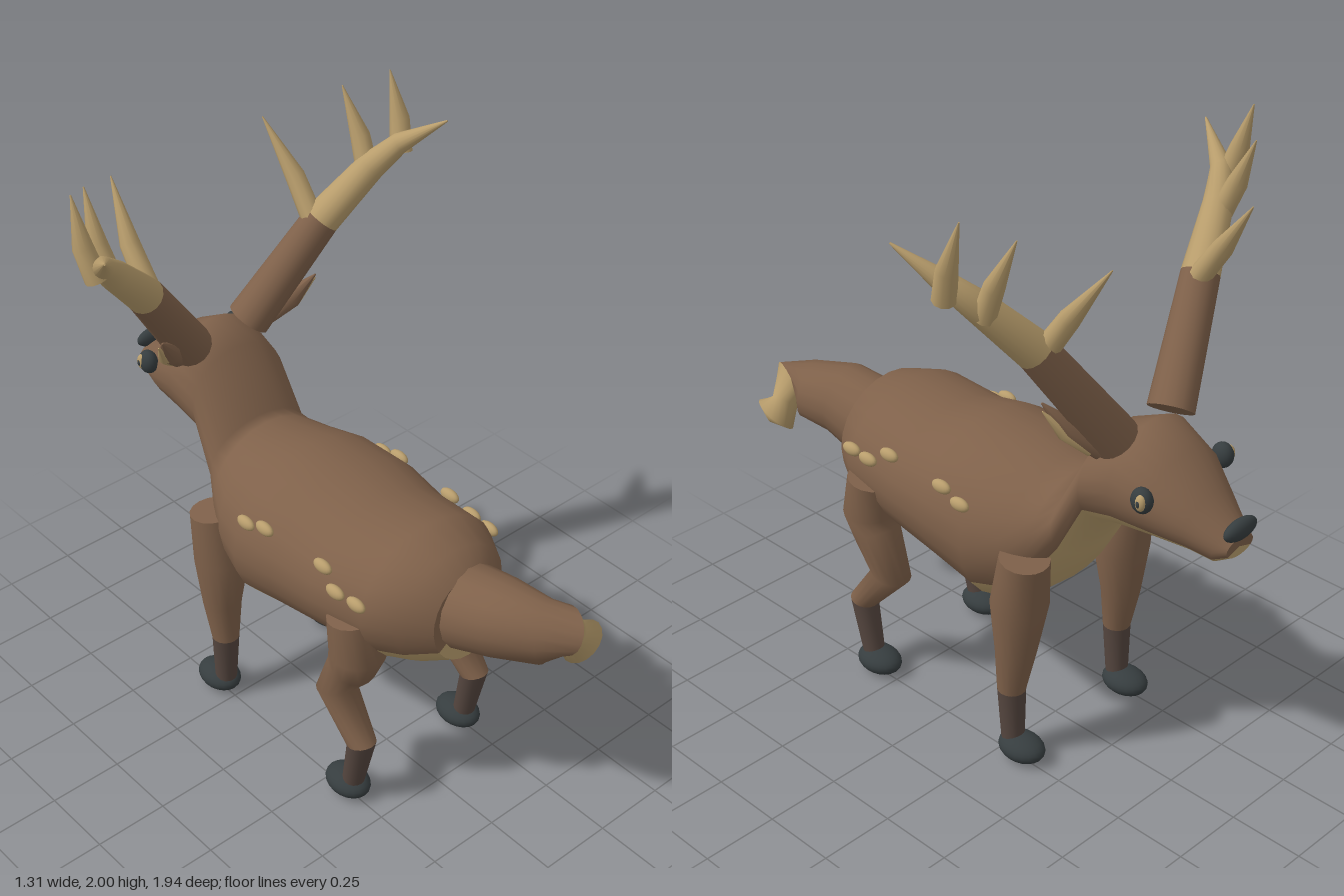
import * as THREE from 'three';

const V = (x, y, z) => new THREE.Vector3(x, y, z);

function material(name, color) {
  const m = new THREE.MeshStandardMaterial({ color });
  m.name = name;
  return m;
}

// Skin a list of rings { c, u, v }; faces go to group 1 where isSecond(j) is true.
function loft(rings, n, isSecond = () => false) {
  const pos = [], faces = [[], []];
  const addRing = ({ c, u, v }) => {
    const start = pos.length / 3;
    for (let j = 0; j < n; j++) {
      const t = (j / n) * Math.PI * 2;
      const p = c.clone().addScaledVector(u, Math.cos(t)).addScaledVector(v, Math.sin(t));
      pos.push(p.x, p.y, p.z);
    }
    return start;
  };
  const starts = rings.map(addRing);
  for (let i = 0; i < rings.length - 1; i++) {
    for (let j = 0; j < n; j++) {
      const k = (j + 1) % n, s = starts[i], e = starts[i + 1];
      faces[isSecond(j) ? 1 : 0].push(s + j, s + k, e + j, s + k, e + k, e + j);
    }
  }
  // Flat end caps with their own vertices so the rim stays sharp
  [[rings[0], true], [rings[rings.length - 1], false]].forEach(([ring, first]) => {
    const s = addRing(ring), mid = pos.length / 3;
    pos.push(ring.c.x, ring.c.y, ring.c.z);
    for (let j = 0; j < n; j++) {
      const k = (j + 1) % n;
      faces[isSecond(j) ? 1 : 0].push(mid, first ? s + k : s + j, first ? s + j : s + k);
    }
  });
  const g = new THREE.BufferGeometry();
  g.setAttribute('position', new THREE.Float32BufferAttribute(pos, 3));
  g.setIndex([...faces[0], ...faces[1]]);
  g.addGroup(0, faces[0].length, 0);
  g.addGroup(faces[0].length, faces[1].length, 1);
  g.computeVertexNormals();
  return g;
}

// Round rings of varying radius along points [x, y, z, r]
function limbRings(points) {
  const c = points.map(p => V(p[0], p[1], p[2]));
  return c.map((p, i) => {
    const d = c[Math.min(i + 1, c.length - 1)].clone().sub(c[Math.max(i - 1, 0)]).normalize();
    const u = V(1, 0, 0).addScaledVector(d, -d.x).normalize();
    const v = d.clone().cross(u);
    return { c: p, u: u.multiplyScalar(points[i][3]), v: v.multiplyScalar(points[i][3]) };
  });
}

export function createModel() {
  const group = new THREE.Group();
  group.name = 'deer';
  const brown = material('brown coat', 0x7f614a);
  const cream = material('cream', 0xb89d6c);
  const sock = material('dark sock', 0x55463f);
  const dark = material('hoof and nose', 0x363d3f);

  const add = (name, geometry, mat) => {
    const mesh = new THREE.Mesh(geometry, mat);
    mesh.name = name;
    group.add(mesh);
    return mesh;
  };
  const ellipsoid = (name, mat, p, r) => {
    const mesh = add(name, new THREE.SphereGeometry(1, 20, 14), mat);
    mesh.position.set(...p);
    mesh.scale.set(...r);
    return mesh;
  };
  // One limb, changing colour at ring index "split"
  const limb = (name, points, split, upper, lower, n = 16) => {
    const rings = limbRings(points);
    add(name, loft(rings.slice(0, split + 1), n), upper);
    if (split < rings.length - 1) add(name + 'End', loft(rings.slice(split), n), lower);
  };

  // Body, neck and head: top z, top y, bottom z, bottom y, half width
  const sections = [
    [0.58, 0.92, 0.61, 0.63, 0.14],
    [0.52, 0.98, 0.52, 0.58, 0.22],
    [0.40, 1.01, 0.44, 0.56, 0.28],
    [0.20, 0.99, 0.22, 0.53, 0.30],
    [0.05, 1.02, 0.03, 0.50, 0.32],
    [-0.13, 1.02, -0.14, 0.45, 0.32],
    [-0.28, 0.99, -0.22, 0.48, 0.285],
    [-0.35, 0.985, -0.32, 0.57, 0.24],
    [-0.39, 0.99, -0.41, 0.72, 0.20],
    [-0.50, 1.20, -0.49, 0.88, 0.187],
    [-0.62, 1.255, -0.60, 0.90, 0.19],
    [-0.74, 1.185, -0.72, 0.92, 0.172],
    [-0.84, 1.09, -0.84, 0.92, 0.12],
    [-0.93, 1.02, -0.90, 0.905, 0.08],
    [-0.955, 1.00, -0.95, 0.935, 0.06],
  ];
  const bodyRings = sections.map(([tz, ty, bz, by, w]) => ({
    c: V(0, (ty + by) / 2, (tz + bz) / 2),
    u: V(0, (ty - by) / 2, (tz - bz) / 2),
    v: V(w, 0, 0),
  }));
  add('body', loft(bodyRings, 24, j => j >= 8 && j < 16), [brown, cream]);

  // Tail swings to one side and curls down at a pale tip
  limb('tail', [
    [0.02, 0.79, 0.56, 0.14], [0.035, 0.825, 0.71, 0.125], [0.08, 0.83, 0.84, 0.10],
    [0.12, 0.85, 0.895, 0.075], [0.165, 0.80, 0.87, 0.045], [0.195, 0.755, 0.885, 0.075],
    [0.215, 0.735, 0.90, 0.01],
  ], 3, brown, cream);

  ellipsoid('nose', dark, [0, 1.025, -0.95], [0.07, 0.033, 0.025]);

  for (const s of [1, -1]) {
    const side = s > 0 ? 'left' : 'right';
    const flip = points => points.map(([x, ...rest]) => [x * s, ...rest]);

    // Legs and hooves
    limb(side + 'FrontLeg', flip([
      [0.24, 0.755, -0.335, 0.08], [0.235, 0.58, -0.31, 0.093], [0.245, 0.40, -0.305, 0.066],
      [0.248, 0.25, -0.29, 0.046], [0.248, 0.06, -0.297, 0.037],
    ]), 3, brown, sock);
    limb(side + 'HindLeg', flip([
      [0.24, 0.755, 0.345, 0.083], [0.235, 0.62, 0.365, 0.092], [0.235, 0.55, 0.34, 0.08],
      [0.24, 0.415, 0.27, 0.066], [0.248, 0.26, 0.40, 0.048], [0.248, 0.06, 0.36, 0.036],
    ]), 4, brown, sock);
    for (const z of [-0.335, 0.335]) {
      ellipsoid(side + 'Hoof', dark, [0.247 * s, 0.044, z], [0.064, 0.044, 0.085]);
    }

    // Antler: brown beam, pale upper part and three tines
    limb(side + 'Antler', flip([
      [0.12, 1.22, -0.58, 0.073], [0.352, 1.55, -0.48, 0.06], [0.50, 1.71, -0.415, 0.047],
      [0.575, 1.79, -0.36, 0.034], [0.652, 1.89, -0.23, 0.003],
    ]), 1, brown, cream);
    const tines = [
      [[0.325, 1.56, -0.50], [0.295, 1.845, -0.70]],
      [[0.50, 1.69, -0.43], [0.495, 1.945, -0.545]],
      [[0.59, 1.75, -0.37], [0.605, 2.0, -0.445]],
    ];
    for (const [a, b] of tines) {
      const mid = a.map((k, i) => k + (b[i] - k) * 0.4);
      mid[0] += 0.012;
      limb(side + 'Tine', flip([[...a, 0.036], [...mid, 0.032], [...b, 0.002]]), 2, cream, cream, 10);
    }

    // Small ear tucked under the antler, with a pale lining
    limb(side + 'Ear', flip([
      [0.18, 1.19, -0.57, 0.02], [0.25, 1.28, -0.515, 0.036], [0.31, 1.365, -0.465, 0.003],
    ]), 2, brown, brown, 8);
    limb(side + 'EarLining', flip([
      [0.21, 1.20, -0.56, 0.01], [0.267, 1.27, -0.515, 0.023], [0.318, 1.345, -0.475, 0.002],
    ]), 2, cream, cream, 8);

    // Eye with a pale iris and dark pupil
    ellipsoid(side + 'Eye', dark, [0.18 * s, 1.105, -0.735], [0.03, 0.041, 0.036]);
    ellipsoid(side + 'Iris', cream, [0.198 * s, 1.108, -0.745], [0.015, 0.027, 0.018]);
    ellipsoid(side + 'Pupil', dark, [0.209 * s, 1.108, -0.745], [0.006, 0.012, 0.008]);

    // Flank spots
    const spots = [
      [0.277, 0.85, 0.40], [0.285, 0.85, 0.315], [0.265, 0.89, 0.235],
      [0.282, 0.89, -0.02], [0.288, 0.865, -0.105],
    ];
    for (const [x, y, z] of spots) {
      ellipsoid(side + 'Spot', cream, [x * s, y, z], [0.018, 0.022, 0.038]);
    }
  }
  return group;
}
